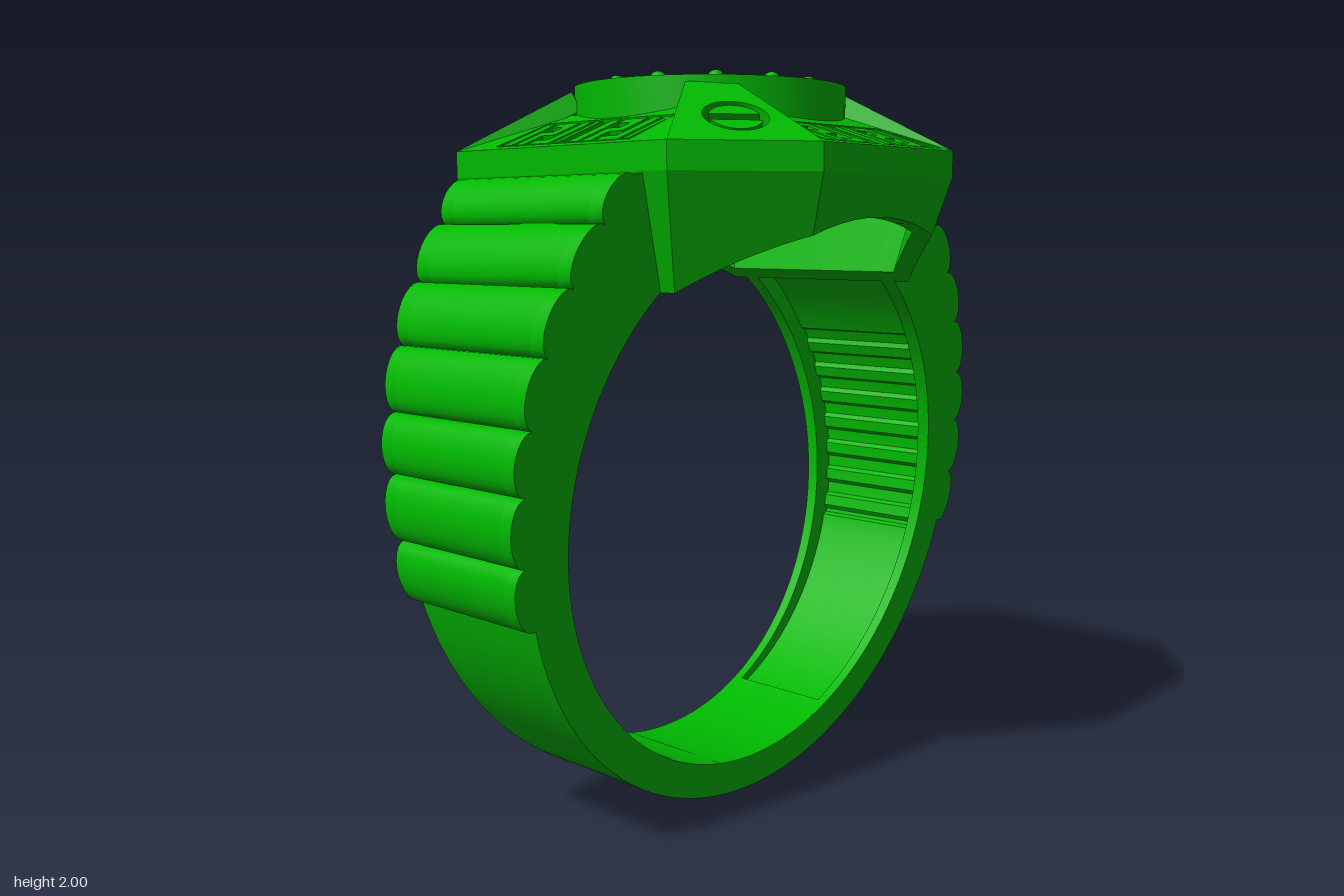
import * as THREE from 'three';
import { toCreasedNormals } from 'three/addons/utils/BufferGeometryUtils.js';

const metal = new THREE.MeshStandardMaterial({ color: 0x00b800 });
const gemBlue = new THREE.MeshStandardMaterial({ color: 0x0488d0 });
gemBlue.flatShading = true;

const FINGER_Y = 0.86, FINGER_R = 0.765;
// Octagon of the head (x, z) and the matching upper corners of its sloped faces
const OCT = [[0.28, 0.615], [0.58, 0.39], [0.58, -0.39], [0.28, -0.615],
  [-0.28, -0.615], [-0.58, -0.39], [-0.58, 0.39], [-0.28, 0.615]];
const OCT_TOP = [[0.225, 0.30], [0.325, 0.21], [0.325, -0.21], [0.225, -0.30],
  [-0.225, -0.30], [-0.325, -0.21], [-0.325, 0.21], [-0.225, 0.30]];

function add(parent, name, geometry, material = metal) {
  const mesh = new THREE.Mesh(geometry, material);
  mesh.name = name;
  parent.add(mesh);
  return mesh;
}

const shapeOf = (pts) => new THREE.Shape(pts.map((p) => new THREE.Vector2(p[0], p[1])));
const extrude = (shape, depth, curveSegments = 24) =>
  new THREE.ExtrudeGeometry(shape, { depth, bevelEnabled: false, curveSegments });

// Outer edge of one side of the band: scalloped shoulder, then a plain arc to the bottom
function outerEdge() {
  const valleys = [[0.605, 1.72], [0.69, 1.605], [0.78, 1.46], [0.85, 1.305],
    [0.89, 1.14], [0.905, 0.985], [0.898, 0.815], [0.863, 0.655]];
  const pts = [[0.555, 1.73]];
  for (let i = 0; i < valleys.length - 1; i++) {
    const [ax, ay] = valleys[i], [bx, by] = valleys[i + 1];
    const len = Math.hypot(bx - ax, by - ay);
    for (let k = 0; k < 12; k++) {
      const a = Math.PI * k / 12, t = (1 - Math.cos(a)) / 2, h = 0.043 * Math.sin(a);
      pts.push([ax + (bx - ax) * t + h * (ay - by) / len, ay + (by - ay) * t + h * (bx - ax) / len]);
    }
  }
  const start = Math.atan2(0.863, 0.89 - 0.655);
  for (let k = 0; k <= 28; k++) {
    const a = start * (1 - k / 28);
    pts.push([0.89 * Math.sin(a), 0.89 - 0.89 * Math.cos(a)]);
  }
  return pts;
}

// Depth of the hollow inside the shoulders, by angle from the bottom of the ring
function pocketDepth(a) {
  const t = Math.abs(a);
  if (t < 0.45) return 0;
  const step = t > 1.3 && t < 2.1 && Math.floor(t / 0.055) % 2 ? 0.012 : 0;
  return 0.02 + 0.035 * Math.min(1, (t - 0.45) / 0.8) + step;
}

// A slice of the band between two fractions of its width, tapered towards the bottom
function bandSlice(depthAt, from, to) {
  const right = outerEdge();
  const left = right.slice(0, -1).reverse().map(([x, y]) => [-x, y]);
  const inner = [];
  const end = Math.PI - Math.atan2(0.48, 0.596);
  for (let k = 0; k <= 360; k++) {
    const a = -end + 2 * end * k / 360, r = FINGER_R + depthAt(a);
    inner.push([r * Math.sin(a), FINGER_Y - r * Math.cos(a)]);
  }
  const geo = extrude(shapeOf([...right, ...left, ...inner]), to - from);
  const p = geo.attributes.position;
  for (let i = 0; i < p.count; i++) {
    p.setZ(i, (p.getZ(i) + from) * (0.17 + 0.081 * p.getY(i)));
  }
  return toCreasedNormals(geo, 0.5);
}

// Hollow tapered skirt below the head, its lower rim cut to the finger opening,
// its inside closing in a sloped ceiling round the bezel
function skirtGeometry() {
  const arch = (x) => FINGER_Y + Math.sqrt(FINGER_R ** 2 - x * x);
  const pos = [], index = [], N = 10, ROWS = 5;
  const drop = (x, z) => {
    let y = 1.5;
    for (let i = 0; i < 12; i++) y = arch(x * (1 - 0.5 * (1.73 - y)));
    const s = 1 - 0.5 * (1.73 - y);
    return [x * s, y, z * s];
  };
  for (let e = 0; e < 8; e++) {
    for (let k = 0; k < N; k++) {
      const a = OCT[e], b = OCT[(e + 1) % 8], t = k / N;
      const x = a[0] + (b[0] - a[0]) * t, z = a[1] + (b[1] - a[1]) * t;
      const c = 0.337 / Math.hypot(x, z);
      pos.push(x, 1.73, z, ...drop(x, z), ...drop(x * 0.91, z * 0.91),
        x * 0.91, 1.75, z * 0.91, x * c, 1.81, z * c);
    }
  }
  for (let c = 0; c < 8 * N; c++) {
    const d = (c + 1) % (8 * N);
    for (let r = 0; r < ROWS - 1; r++) {
      const a = c * ROWS + r, b = d * ROWS + r;
      index.push(a, a + 1, b, b, a + 1, b + 1);
    }
  }
  const geo = new THREE.BufferGeometry();
  geo.setAttribute('position', new THREE.Float32BufferAttribute(pos, 3));
  geo.setIndex(index);
  return toCreasedNormals(geo, 0.4);
}

// Meander strokes of one unit: u0, u1, v0, v1
const KEY = [[0, 0.035, 0, 0.17], [0.05, 0.13, 0.138, 0.17], [0.095, 0.13, 0.07, 0.138],
  [0.05, 0.095, 0.07, 0.1], [0.05, 0.083, 0, 0.07], [0.1, 0.18, 0, 0.032],
  [0.148, 0.18, 0.032, 0.17], [0.195, 0.215, 0, 0.17]];

// One sloped face of the head, laid out in its own plane (u along the edge, v upward)
function slopedFace(i) {
  const j = (i + 1) % 8, corner = i % 2 === 0, topY = corner ? 1.96 : 1.9;
  const at = ([x, z], y) => new THREE.Vector3(x, y, z);
  const p = [at(OCT[i], 1.8), at(OCT[j], 1.8), at(OCT_TOP[j], topY), at(OCT_TOP[i], topY)];
  const o = p[0].clone().add(p[1]).multiplyScalar(0.5);
  const u = p[1].clone().sub(p[0]).normalize();
  const m = p[2].clone().add(p[3]).multiplyScalar(0.5).sub(o);
  const n = u.clone().cross(m).normalize();
  const v = n.clone().cross(u);
  const face = new THREE.Group();
  face.name = corner ? 'screwCorner' : 'keyPanel';
  new THREE.Matrix4().makeBasis(u, v, n).setPosition(o).decompose(face.position, face.quaternion, face.scale);

  const shape = shapeOf(p.map((q) => [q.clone().sub(o).dot(u), q.clone().sub(o).dot(v)]));
  const depth = corner ? 0.055 : 0.018;
  if (corner) {
    const cv = 0.135;
    shape.holes.push(new THREE.Path().absarc(0, cv, 0.082, 0, Math.PI * 2, true));
    const floor = add(face, 'screwRecess', new THREE.CylinderGeometry(0.085, 0.085, 0.014, 32));
    floor.rotation.x = Math.PI / 2;
    floor.position.set(0, cv, -0.047);
    // Screw head in two halves with a slot between
    for (const turn of [0, Math.PI]) {
      const half = new THREE.Shape().absarc(0, 0, 0.066, 0.25, Math.PI - 0.25, false);
      const mesh = add(face, 'screwHeadHalf', toCreasedNormals(extrude(half, 0.042), 0.5));
      mesh.rotation.z = turn;
      mesh.position.set(0, cv, -0.045);
    }
  } else {
    // Sunken field with a meander standing flush with its rim
    const field = [[-0.25, 0.02], [-0.235, 0.21], [0.235, 0.21], [0.25, 0.02]];
    add(face, 'keyField', extrude(shapeOf(field), 0.014).translate(0, 0, -0.032));
    shape.holes.push(shapeOf(field));
    for (const start of [-0.233, 0.018]) {
      for (const [u0, u1, v0, v1] of KEY) {
        const bar = add(face, 'keyStroke', new THREE.BoxGeometry(u1 - u0, v1 - v0, 0.02));
        bar.position.set(start + (u0 + u1) / 2, 0.03 + (v0 + v1) / 2, -0.011);
      }
    }
  }
  add(face, 'slope', toCreasedNormals(extrude(shape, depth).translate(0, 0, -depth), 0.5));
  return face;
}

export function createModel() {
  const ring = new THREE.Group();
  ring.name = 'ring';

  // Band: two side walls and a hollowed middle
  add(ring, 'bandFrontWall', bandSlice(() => 0, 0.84, 1));
  add(ring, 'bandMiddle', bandSlice(pocketDepth, -0.84, 0.84));
  add(ring, 'bandBackWall', bandSlice(() => 0, -1, -0.84));

  // Head: skirt, flange and eight sloped faces
  add(ring, 'headSkirt', skirtGeometry());
  const flange = shapeOf(OCT.map(([x, z]) => [x, -z]));
  flange.holes.push(shapeOf(OCT.map(([x, z]) => [x * 0.93, -z * 0.93])));
  add(ring, 'headFlange', toCreasedNormals(
    extrude(flange, 0.07).rotateX(-Math.PI / 2).translate(0, 1.73, 0), 0.5));
  for (let i = 0; i < 8; i++) ring.add(slopedFace(i));

  // Round bezel with a dished floor and one shallow step underneath
  const profile = [[0, 1.89], [0.305, 1.89], [0.305, 1.86], [0.335, 1.86], [0.335, 1.805], [0.375, 1.805],
    [0.375, 1.98], [0.33, 1.98], [0.325, 1.932], [0, 1.932]].map((q) => new THREE.Vector2(q[0], q[1]));
  add(ring, 'bezel', toCreasedNormals(new THREE.LatheGeometry(profile, 64), 0.5));

  // Calls place(x, z) for points spread evenly round a circle
  const around = (count, r, offset, place) => {
    for (let k = 0; k < count; k++) {
      const a = offset + k * Math.PI * 2 / count;
      place(r * Math.sin(a), r * Math.cos(a));
    }
  };

  // Stones: faceted crown above a pointed base that shows through the floor
  const crown = new THREE.CylinderGeometry(0.034, 0.06, 0.014, 8);
  const base = new THREE.ConeGeometry(0.06, 0.095, 8).rotateX(Math.PI);
  const stone = (x, z) => {
    add(ring, 'stoneCrown', crown, gemBlue).position.set(x, 1.96, z);
    add(ring, 'stoneBase', base, gemBlue).position.set(x, 1.9055, z);
  };
  around(1, 0, 0, stone);
  around(6, 0.135, 0, stone);
  around(12, 0.262, 0, stone);

  // Beads holding the stones
  const beadGeo = new THREE.CapsuleGeometry(0.023, 0.03, 5, 12);
  const bead = (x, z) => add(ring, 'bead', beadGeo).position.set(x, 1.962, z);
  around(6, 0.08, Math.PI / 6, bead);
  around(6, 0.165, Math.PI / 6, bead);
  around(12, 0.2, Math.PI / 12, bead);
  around(12, 0.295, Math.PI / 12, bead);

  return ring;
}
